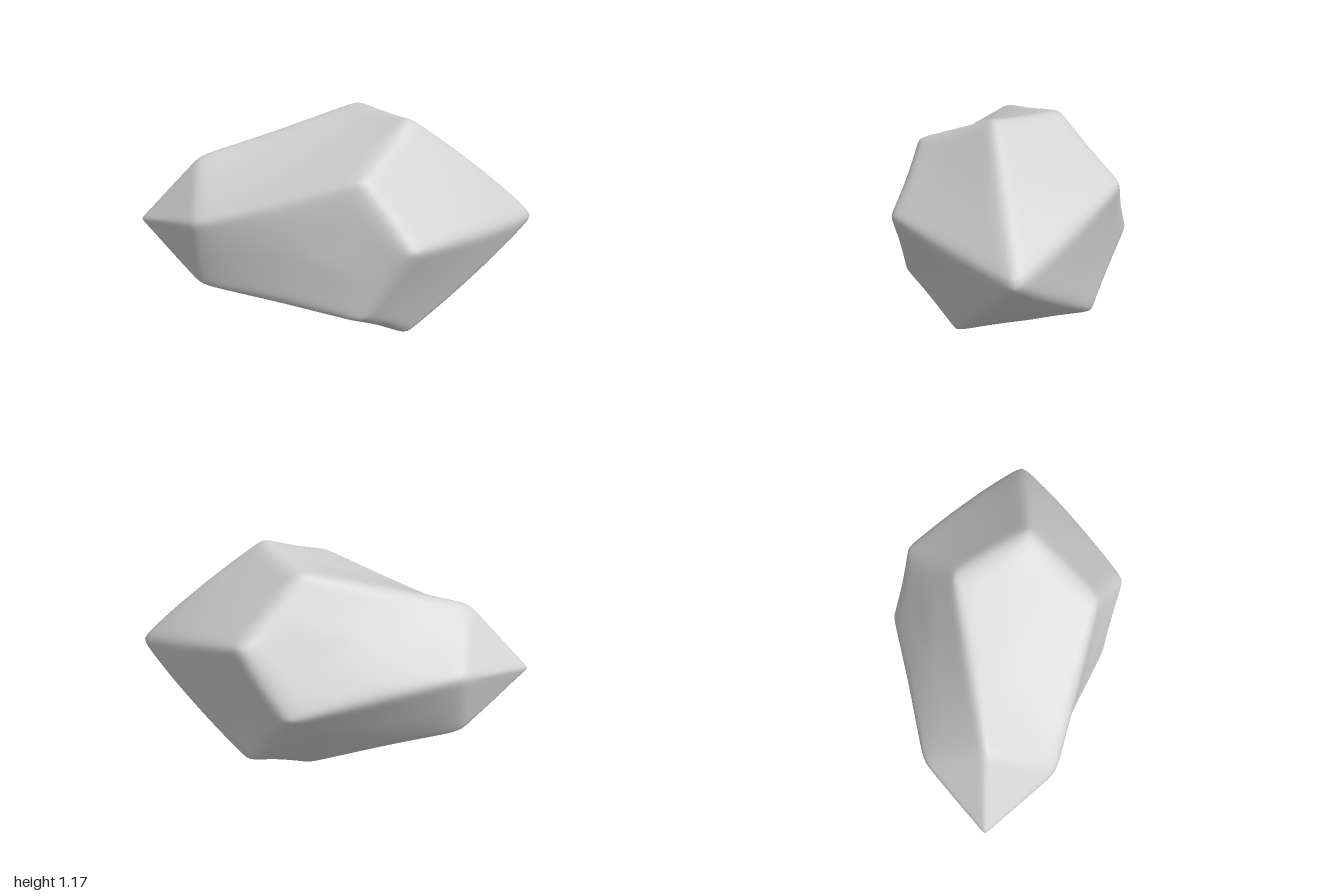
import * as THREE from 'three';
import { mergeVertices } from 'three/addons/utils/BufferGeometryUtils.js';

const CENTRE_Y = 0.59;
const DIVISIONS = 14;

// Five corners spaced evenly round the long x axis
function ring(x, radius, startDegrees) {
  return Array.from({ length: 5 }, (_, i) => {
    const a = THREE.MathUtils.degToRad(startDegrees + 72 * i);
    return new THREE.Vector3(x, CENTRE_Y + radius * Math.sin(a), radius * Math.cos(a));
  });
}

const mid = (a, b) => a.clone().add(b).multiplyScalar(0.5);

// Split a facet into one finely gridded quad per corner
function addFacet(out, corners) {
  const n = corners.length;
  const centre = new THREE.Vector3();
  corners.forEach((c) => centre.addScaledVector(c, 1 / n));
  corners.forEach((c, i) => {
    const next = mid(c, corners[(i + 1) % n]);
    const prev = mid(c, corners[(i + n - 1) % n]);
    const at = (u, v) => {
      const s = u / DIVISIONS, t = v / DIVISIONS;
      return c.clone().lerp(next, s).lerp(prev.clone().lerp(centre, s), t);
    };
    for (let u = 0; u < DIVISIONS; u++) {
      for (let v = 0; v < DIVISIONS; v++) {
        const p = at(u, v), q = at(u + 1, v), r = at(u + 1, v + 1), s = at(u, v + 1);
        for (const k of [p, q, r, p, r, s]) out.push(k.x, k.y, k.z);
      }
    }
  });
}

// Soften the edges by moving each vertex towards its grid neighbours,
// less so near the axis so that both tips stay pointed
function soften(geometry, rounds) {
  const pos = geometry.attributes.position;
  const index = geometry.index.array;
  const near = Array.from({ length: pos.count }, () => new Set());
  for (let i = 0; i < index.length; i += 6) {
    const quad = [index[i], index[i + 1], index[i + 2], index[i + 5]];
    quad.forEach((a, k) => {
      const b = quad[(k + 1) % 4];
      near[a].add(b);
      near[b].add(a);
    });
  }
  const weight = near.map((_, i) => {
    const radius = Math.hypot(pos.getY(i) - CENTRE_Y, pos.getZ(i));
    return 0.5 * Math.min(1, 0.1 + 3 * radius);
  });
  for (let round = 0; round < rounds; round++) {
    const old = pos.array.slice();
    near.forEach((set, i) => {
      for (let k = 0; k < 3; k++) {
        let sum = 0;
        for (const j of set) sum += old[j * 3 + k];
        pos.array[i * 3 + k] += weight[i] * (sum / set.size - old[i * 3 + k]);
      }
    });
  }
}

export function createModel() {
  const stone = new THREE.MeshStandardMaterial({ color: 0xd2d2d2 });
  stone.name = 'pale grey stone';

  // Two tips and three twisted rings of corners
  const rightTip = new THREE.Vector3(1.02, 0.605, 0);
  const leftTip = new THREE.Vector3(-1.012, 0.592, 0);
  const A = ring(0.365, 0.59, 10);
  const B = ring(0.11, 0.617, 43);
  const C = ring(-0.69, 0.357, 22);

  const points = [];
  for (let i = 0; i < 5; i++) {
    const j = (i + 1) % 5;
    addFacet(points, [rightTip, A[j], B[i], A[i]]); // kites of the blunt end
    addFacet(points, [C[i], B[i], A[j], B[j], C[j]]); // long tapering sides
    addFacet(points, [leftTip, C[i], C[j]]); // small pointed end
  }

  let geometry = new THREE.BufferGeometry();
  geometry.setAttribute('position', new THREE.Float32BufferAttribute(points, 3));
  geometry = mergeVertices(geometry, 1e-3);

  // Bulge the blunt end outwards
  const pos = geometry.attributes.position;
  for (let i = 0; i < pos.count; i++) {
    const s = Math.max(0, (pos.getX(i) - 0.1) / 0.9);
    const f = 1 + 0.32 * s * s;
    pos.setY(i, CENTRE_Y + (pos.getY(i) - CENTRE_Y) * f);
    pos.setZ(i, pos.getZ(i) * f);
  }
  soften(geometry, 12);

  // Stand it on the ground
  geometry.computeBoundingBox();
  geometry.translate(0, -geometry.boundingBox.min.y, 0);
  geometry.computeVertexNormals();

  const rock = new THREE.Mesh(geometry, stone);
  rock.name = 'facetedRock';
  const model = new THREE.Group();
  model.name = 'rock';
  model.add(rock);
  return model;
}
